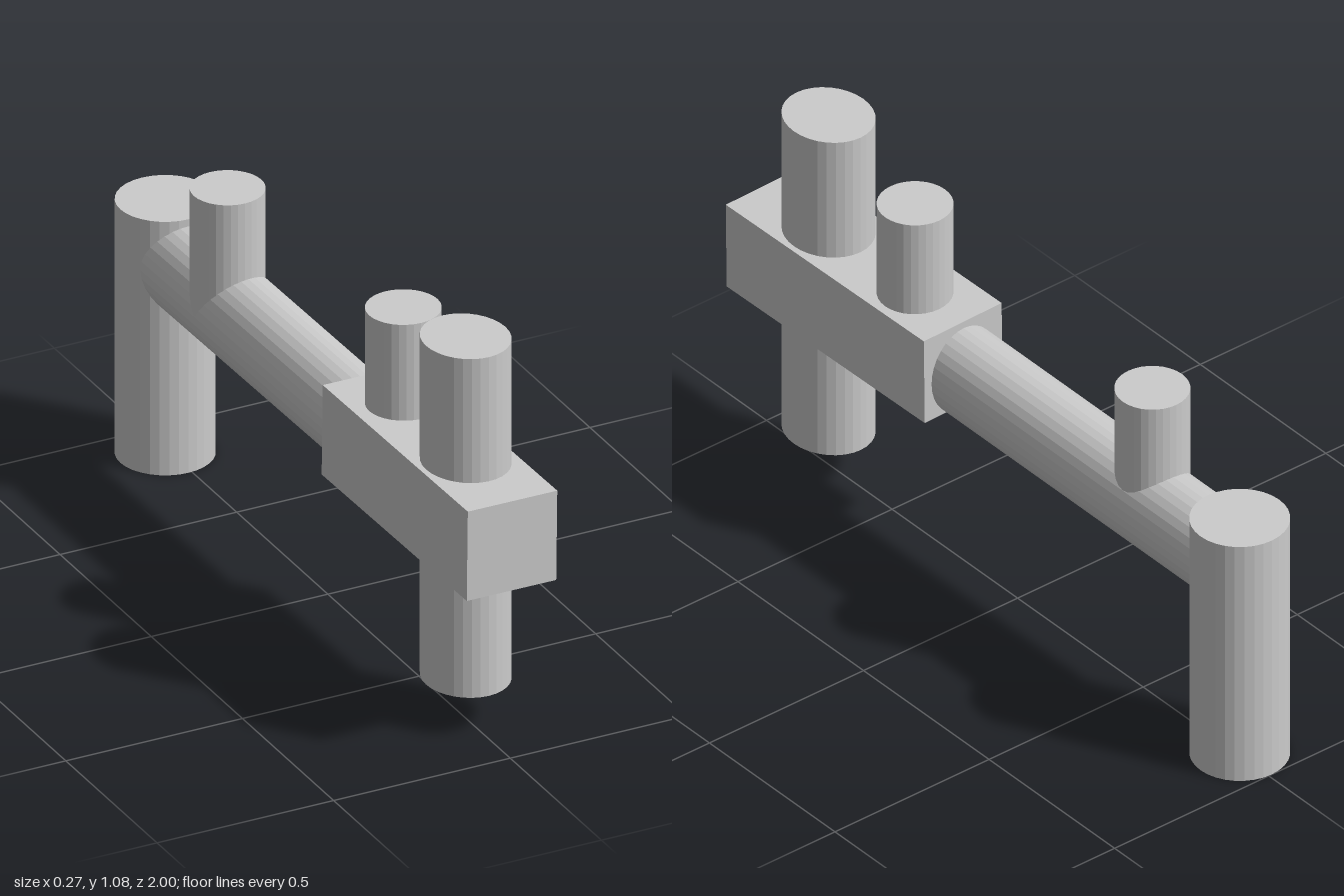
import * as THREE from 'three';

export function createModel() {
  const model = new THREE.Group();
  const material = new THREE.MeshStandardMaterial({ color: 0xcccccc, flatShading: true });

  function add(name, geometry, x, y, z) {
    const mesh = new THREE.Mesh(geometry, material);
    mesh.name = name;
    mesh.position.set(x, y, z);
    model.add(mesh);
    return mesh;
  }

  // Upright post with an elliptical section, from y0 to y1
  function post(name, x, z, rx, rz, y0, y1) {
    const geometry = new THREE.CylinderGeometry(1, 1, y1 - y0, 32).scale(rx, 1, rz);
    return add(name, geometry, x, (y0 + y1) / 2, z);
  }

  // Front block, very slightly skewed
  const block = add('frontBlock', new THREE.BoxGeometry(0.255, 0.253, 0.777), 0.001, 0.601, 0.61);
  block.rotation.set(0, 0.0125, -0.012);

  // Long horizontal beam between the block and the rear post
  const front = new THREE.Vector3(-0.005, 0.583, 0.255);
  const back = new THREE.Vector3(-0.012, 0.574, -0.87);
  const beamGeometry = new THREE.CylinderGeometry(1, 1, front.distanceTo(back), 32)
    .scale(0.105, 1, 0.125)
    .rotateX(Math.PI / 2);
  const centre = front.clone().add(back).multiplyScalar(0.5);
  const beam = add('beam', beamGeometry, centre.x, centre.y, centre.z);
  beam.lookAt(front);

  // Posts standing through or on the beam and block
  post('frontPost', 0.004, 0.748, 0.1125, 0.1275, 0.118, 1.08);
  post('frontPeg', 0.007, 0.4, 0.097, 0.097, 0.6, 1.0);
  post('rearPeg', -0.019, -0.513, 0.096, 0.096, 0.58, 0.92);
  post('rearPost', -0.01, -0.8725, 0.1275, 0.1275, 0, 0.72);

  return model;
}
